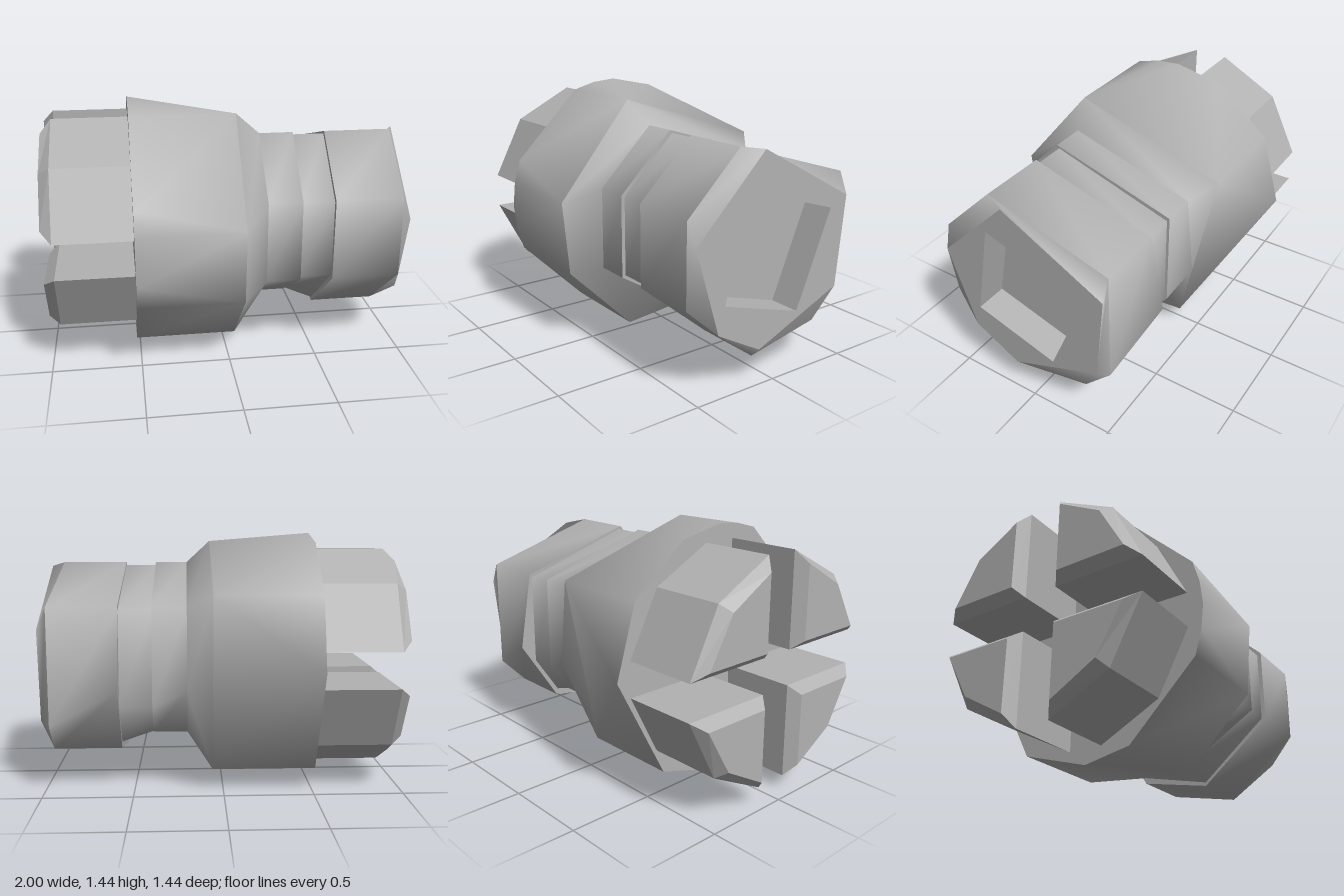
import * as THREE from 'three';
import { mergeVertices } from 'three/addons/utils/BufferGeometryUtils.js';

const MID = 0.72; // height of the long axis

export function createModel() {
  const group = new THREE.Group();
  const metal = new THREE.MeshStandardMaterial({ color: 0xb2b2b2 });
  metal.name = 'greyMetal';

  const add = (name, geometry, parent = group) => {
    const mesh = new THREE.Mesh(geometry, metal);
    mesh.name = name;
    parent.add(mesh);
    return mesh;
  };

  // Smooth band between two [z, y] rings of equal length, at x0 and x1
  const band = (name, x0, r0, x1, r1, { flat = false, inward = false } = {}, parent = group) => {
    const pos = [], index = [], n = r0.length;
    for (const [z, y] of r0) pos.push(x0, y, z);
    for (const [z, y] of r1) pos.push(x1, y, z);
    for (let i = 0; i < n; i++) {
      const j = (i + 1) % n;
      const tris = [[i, n + i, n + j], [i, n + j, j]];
      for (const t of tris) index.push(...(inward ? t.reverse() : t));
    }
    let g = new THREE.BufferGeometry();
    g.setAttribute('position', new THREE.Float32BufferAttribute(pos, 3));
    g.setIndex(index);
    g = flat ? g.toNonIndexed() : mergeVertices(g);
    g.computeVertexNormals();
    return add(name, g, parent);
  };

  // Flat end facing +x (dir 1) or -x (dir -1), with an optional hole
  const cap = (name, ring, x, dir, hole, parent = group) => {
    const pts = r => r.map(([z, y]) => new THREE.Vector2(-dir * z, y));
    const shape = new THREE.Shape(pts(ring));
    if (hole) shape.holes.push(new THREE.Path(pts(hole)));
    const g = new THREE.ShapeGeometry(shape);
    g.rotateY(dir * Math.PI / 2);
    g.translate(x, 0, 0);
    return add(name, g, parent);
  };

  // Wide body: fine rim at the jaw end, coarse rim at the shoulder
  const rim = [
    [0.274, 1.39], [0.14, 1.427], [0, 1.44], [-0.274, 1.385], [-0.597, 1.123],
    [-0.717, 0.72], [-0.4, 0.125], [0, 0.003], [0.274, 0.056], [0.667, 0.449],
    [0.705, 0.585], [0.72, 0.725], [0.705, 0.865], [0.667, 0.996],
  ];
  const edge = [
    [0.274, 1.39], [-0.597, 1.123], [-0.4, 0.125], [0.274, 0.056], [0.667, 0.449], [0.705, 0.865],
  ];
  const pick = ids => ids.map(i => edge[i]);
  band('body', -0.52, rim, 0.06, pick([0, 0, 0, 0, 1, 1, 2, 3, 3, 4, 4, 5, 5, 5]));
  cap('bodyEnd', rim, -0.52, -1);

  // Shoulder, neck, groove and collar
  const neckA = [[0.223, 1.262], [-0.49, 1.05], [-0.54, 0.6], [-0.36, 0.335], [0.11, 0.24], [0.535, 0.5], [0.535, 0.95]];
  const neckB = [[0.223, 1.262], [-0.49, 1.05], [-0.49, 0.5], [-0.36, 0.335], [0.11, 0.24], [0.535, 0.5], [0.535, 0.95]];
  const grooveA = [[0.21, 1.245], [-0.475, 1.03], [-0.475, 0.5], [-0.34, 0.335], [0.11, 0.25], [0.515, 0.51], [0.515, 0.94]];
  const grooveB = [[0.21, 1.245], [-0.475, 1.03], [-0.475, 0.5], [-0.32, 0.27], [0.11, 0.17], [0.515, 0.51], [0.515, 0.94]];
  const collarA = [[0.223, 1.262], [-0.49, 1.05], [-0.57, 0.605], [-0.33, 0.235], [0.11, 0.148], [0.54, 0.5], [0.54, 0.95]];
  const collarB = collarA.map((p, i) => (i === 2 ? [-0.49, 0.4] : p));
  const face = [[0.104, 1.245], [-0.49, 0.93], [-0.44, 0.426], [-0.44, 0.426], [0.104, 0.2], [0.378, 0.35], [0.524, 0.826]];

  band('shoulder', 0.06, pick([0, 1, 2, 2, 3, 4, 5]), 0.2, neckA);
  band('neck', 0.2, neckA, 0.39, neckB);
  band('neckStep', 0.39, neckB, 0.39, grooveA);
  band('groove', 0.39, grooveA, 0.57, grooveB);
  band('collarStep', 0.57, grooveB, 0.57, collarA);
  band('collar', 0.57, collarA, 0.95, collarB);
  band('collarBevel', 0.95, collarB, 1, face);

  // End face with a four-sided socket
  const socket = [[0.223, 1.06], [-0.374, 0.877], [-0.154, 0.349], [0.339, 0.495]];
  cap('endFace', face.filter((p, i) => i !== 3), 1, 1, socket);
  band('socketWall', 0.82, socket, 1, socket, { flat: true, inward: true });
  cap('socketFloor', socket, 0.82, 1);

  // Four jaws, one in each quadrant
  const section = [[0.1, 0.1], [0.1, 0.63], [0.45, 0.45], [0.63, 0.1]];
  const tip = [[0.15, 0.15], [0.15, 0.56], [0.41, 0.41], [0.56, 0.15]];
  for (const sy of [1, -1]) {
    for (const sz of [1, -1]) {
      const jaw = new THREE.Group();
      jaw.name = (sy > 0 ? 'upper' : 'lower') + (sz > 0 ? 'Front' : 'Back') + 'Jaw';
      group.add(jaw);
      const place = r => {
        const out = r.map(([z, y]) => [sz * z, MID + sy * y]);
        return sy * sz > 0 ? out.reverse() : out;
      };
      band('jawSides', -0.94, place(section), -0.52, place(section), { flat: true }, jaw);
      band('jawBevel', -1, place(tip), -0.94, place(section), { flat: true }, jaw);
      cap('jawTip', place(tip), -1, -1, null, jaw);
    }
  }
  return group;
}
